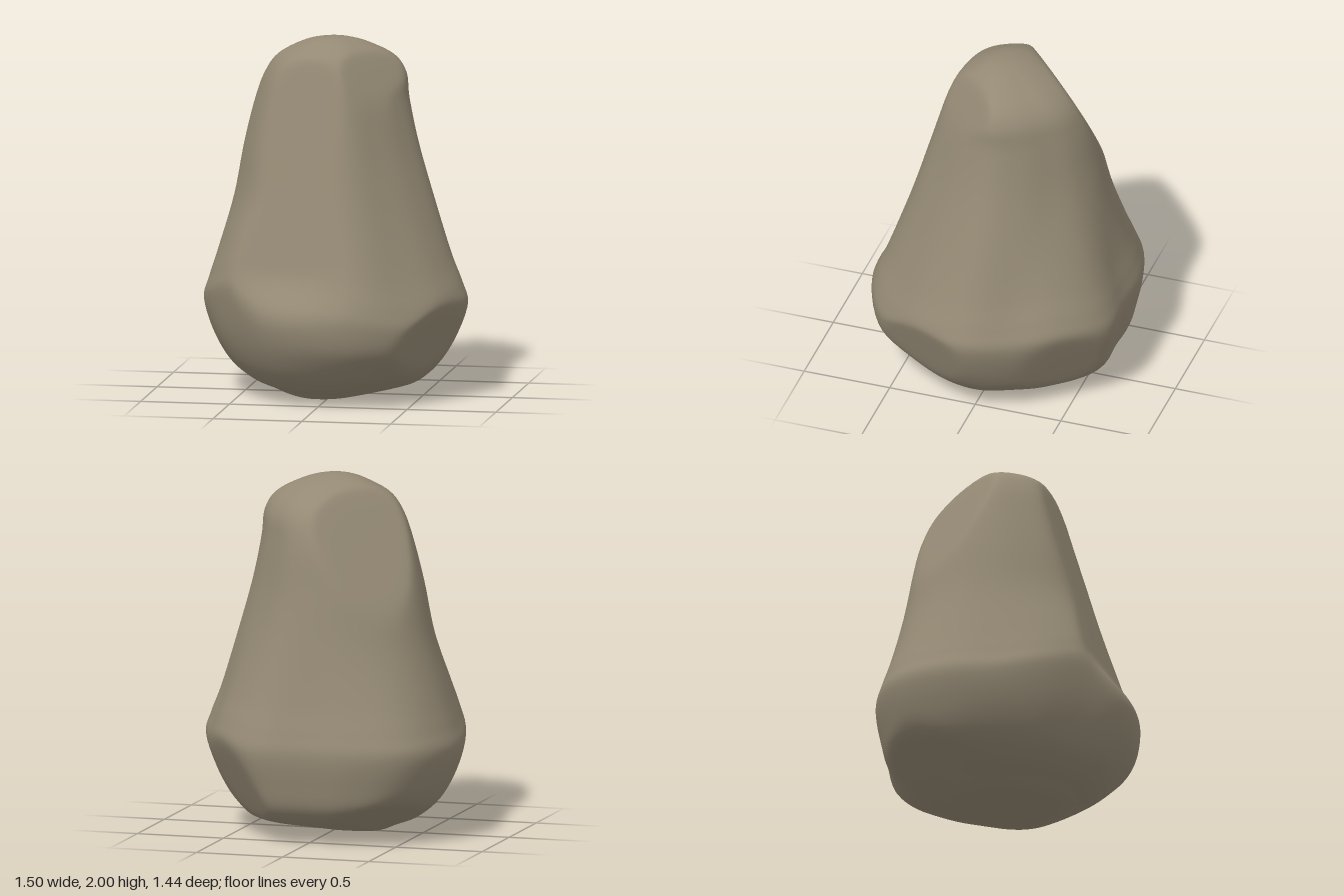
import * as THREE from 'three';

// height, x min, x max, z min, z max of the stone at each level
const LEVELS = [
  [0, -0.13, -0.13, 0.12, 0.12],
  [0.005, -0.26, 0.24, -0.24, 0.28],
  [0.05, -0.37, 0.4, -0.37, 0.39],
  [0.1, -0.49, 0.49, -0.53, 0.49],
  [0.2, -0.61, 0.59, -0.65, 0.6],
  [0.35, -0.695, 0.685, -0.695, 0.695],
  [0.52, -0.745, 0.742, -0.72, 0.722],
  [0.64, -0.715, 0.71, -0.695, 0.7],
  [0.8, -0.665, 0.645, -0.65, 0.635],
  [1.1, -0.58, 0.545, -0.585, 0.52],
  [1.4, -0.525, 0.455, -0.53, 0.435],
  [1.65, -0.465, 0.4, -0.485, 0.365],
  [1.8, -0.41, 0.385, -0.425, 0.32],
  [1.9, -0.335, 0.325, -0.32, 0.25],
  [1.97, -0.2, 0.19, -0.18, 0.14],
  [2, -0.1, 0.09, -0.08, 0.07],
  [2.01, 0, 0, 0, 0],
];

// outline ratios every 22.5 degrees, starting at +x and turning to +z
const FOOT = [1, 1.01, 1, 1.01, 1, 1, 0.96, 0.97, 1, 1.08, 1.14, 1.07, 0.99, 1.05, 1, 0.95];
const HEAD = [1, 0.95, 0.93, 0.99, 1, 1, 0.99, 0.97, 1, 1.04, 1.03, 1.02, 1, 0.97, 0.92, 0.95];
// rise or drop of the widest line, at the same angles
const HIP = [0, -0.06, -0.1, -0.05, 0, 0.06, 0.12, 0.06, 0, 0, 0, 0, 0, 0, 0.03, 0];

// soft flat chips: normal x, y, z, distance, lowest height
const CHIPS = [
  [-0.22, 0.27, 0.93, 0.748, 0.45],   // broad front face
  [0.66, 0.42, 0.62, 0.995, 0.6],     // upper front chip
  [-0.6, 0.45, -0.66, 1.09, 0.6],     // upper back chip
  [0.7, -0.42, -0.58, 0.43, -1],      // lower back chip
  [0.85, -0.35, 0.38, 0.47, -1],      // lower side
  [-0.35, -0.8, 0.48, 0.27, -1],
  [-0.6, -0.65, -0.47, 0.4, -1],
  [-0.75, -0.1, 0.65, 0.65, -1],      // lower front corner
  [0.12, -1, -0.12, -0.02, -1],       // tilted underside
  [0.3, -0.9, 0.3, 0.1, -1],
  [-0.3, -0.9, -0.3, 0.1, -1],
];

const { clamp, lerp, smoothstep } = THREE.MathUtils;

const cubic = (a, b, c, d, t) =>
  b + 0.5 * t * (c - a + t * (2 * a - 5 * b + 4 * c - d + t * (3 * (b - c) + d - a)));

function levelAt(u) {
  const last = LEVELS.length - 1;
  const i = Math.min(Math.floor(u), last - 1);
  const row = k => LEVELS[clamp(k, 0, last)];
  return LEVELS[0].map((_, c) => cubic(row(i - 1)[c], row(i)[c], row(i + 1)[c], row(i + 2)[c], u - i));
}

function ratioAt(table, s) {
  const i = Math.floor(s), v = k => table[(k + 16) % 16];
  return cubic(v(i - 1), v(i), v(i + 1), v(i + 2), s - i);
}

// push a point back behind every chip plane, with a slightly worn edge
function chip(p) {
  for (const [x, y, z, d, low] of CHIPS) {
    const n = new THREE.Vector3(x, y, z);
    const size = n.length();
    n.normalize();
    const e = p.dot(n) - d / size;
    const depth = 0.5 * (e + Math.hypot(e, 0.02));
    p.addScaledVector(n, -depth * smoothstep(p.y, low, low + 0.35));
  }
  return p;
}

function stoneGeometry() {
  const around = 112, up = (LEVELS.length - 1) * 6;
  const points = [], index = [];
  for (let j = 0; j <= up; j++) {
    const [y, x0, x1, z0, z1] = levelAt(j / 6);
    const blend = smoothstep(y, 0.5, 1.4);
    const lift = smoothstep(y, 0.15, 0.5) * (1 - smoothstep(y, 0.6, 1.3));
    for (let i = 0; i < around; i++) {
      const a = (i / around) * Math.PI * 2, s = (i / around) * 16;
      const k = lerp(ratioAt(FOOT, s), ratioAt(HEAD, s), blend);
      const p = new THREE.Vector3(
        (x0 + x1) / 2 + ((x1 - x0) / 2) * k * Math.cos(a),
        y + lift * ratioAt(HIP, s),
        (z0 + z1) / 2 + ((z1 - z0) / 2) * k * Math.sin(a));
      points.push(...chip(p).toArray());
      if (j === up) continue;
      const A = j * around + i, B = j * around + (i + 1) % around;
      index.push(A, A + around, B, B, A + around, B + around);
    }
  }
  const g = new THREE.BufferGeometry();
  g.setAttribute('position', new THREE.Float32BufferAttribute(points, 3));
  g.setIndex(index);
  // settle on the ground
  g.computeBoundingBox();
  const { min, max } = g.boundingBox;
  g.translate(-(min.x + max.x) / 2, -min.y, -(min.z + max.z) / 2);
  g.computeVertexNormals();
  return g;
}

export function createModel() {
  const stone = new THREE.MeshStandardMaterial({ color: 0x948974 });
  stone.name = 'stone';
  const rock = new THREE.Mesh(stoneGeometry(), stone);
  rock.name = 'rock';
  const group = new THREE.Group();
  group.name = 'boulder';
  group.add(rock);
  return group;
}
